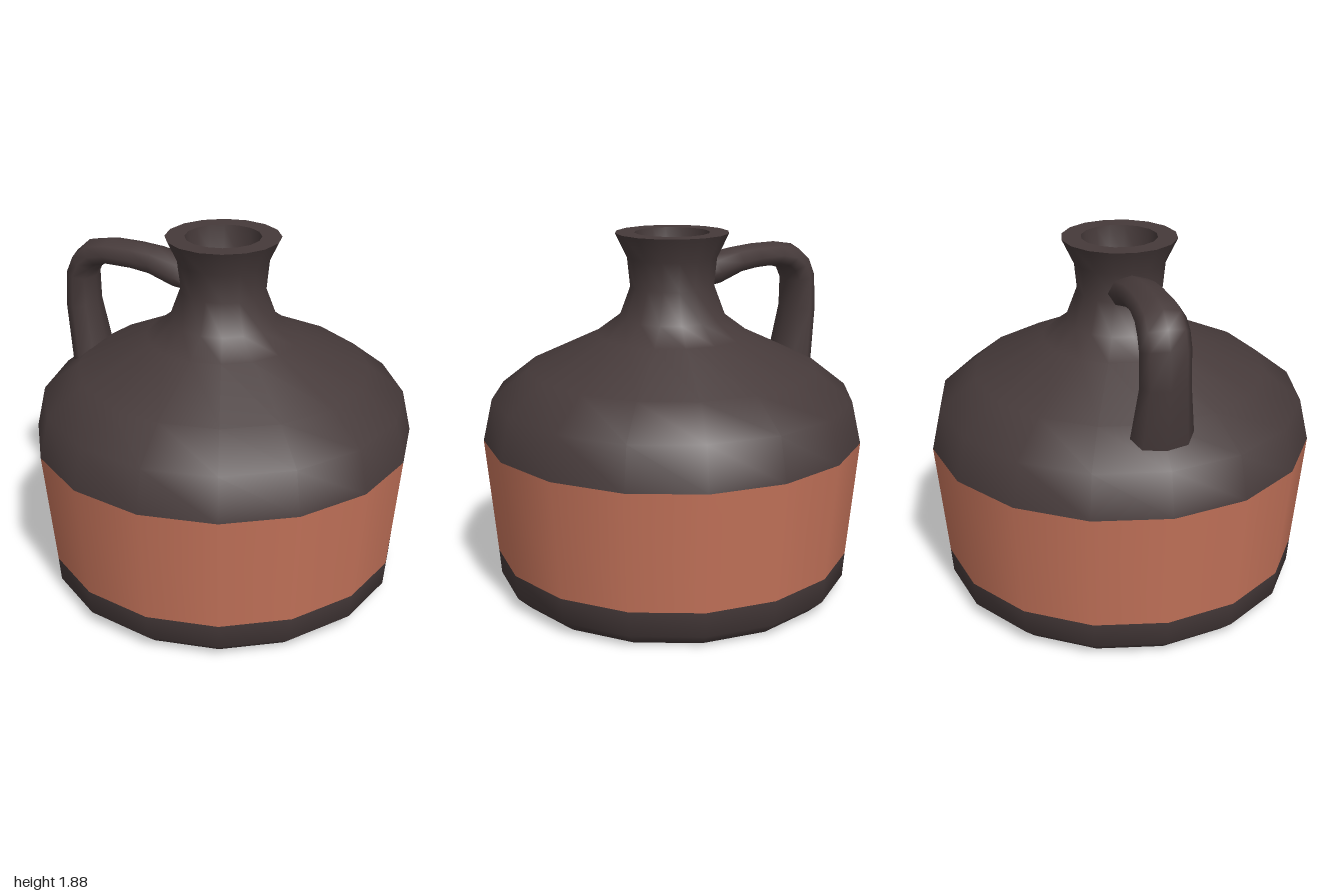
import * as THREE from 'three';

const SIDES = 16;

// Surface of revolution from [radius, height] pairs
function turned(name, profile, material) {
  const points = profile.map(([r, y]) => new THREE.Vector2(r, y));
  const mesh = new THREE.Mesh(new THREE.LatheGeometry(points, SIDES), material);
  mesh.name = name;
  return mesh;
}

// Oval-section strap: each station is [outer x, outer y, inner x, inner y, half width in z]
function strapGeometry(stations, sides) {
  const positions = [];
  const index = [];
  stations.forEach(([ox, oy, ix, iy, w], i) => {
    for (let j = 0; j < sides; j++) {
      const a = (j / sides) * Math.PI * 2;
      const c = Math.cos(a) / 2;
      positions.push((ox + ix) / 2 + (ox - ix) * c, (oy + iy) / 2 + (oy - iy) * c, w * Math.sin(a));
      if (i === 0) continue;
      const k = (j + 1) % sides;
      const lo = (i - 1) * sides;
      const hi = i * sides;
      index.push(lo + j, lo + k, hi + k, lo + j, hi + k, hi + j);
    }
  });
  const geometry = new THREE.BufferGeometry();
  geometry.setAttribute('position', new THREE.Float32BufferAttribute(positions, 3));
  geometry.setIndex(index);
  geometry.computeVertexNormals();
  return geometry;
}

export function createModel() {
  const group = new THREE.Group();
  group.name = 'jug';
  const glaze = new THREE.MeshStandardMaterial({ color: 0x463a3a });
  glaze.name = 'dark glaze';
  const clay = new THREE.MeshStandardMaterial({ color: 0xc4735a });
  clay.name = 'terracotta';

  // Body, from the foot up
  group.add(
    turned('foot', [[0, 0], [0.86, 0], [0.935, 0.07], [0.945, 0.2]], glaze),
    turned('band', [[0.945, 0.2], [1, 0.82]], clay),
    turned('shoulderAndNeck', [
      [1, 0.82], [0.95, 1.04], [0.76, 1.19], [0.4, 1.36],
      [0.28, 1.45], [0.22, 1.61], [0.235, 1.76], [0.295, 1.885],
    ], glaze),
    turned('rim', [[0.295, 1.885], [0.195, 1.885]], glaze),
    turned('mouth', [[0.195, 1.885], [0.18, 1.74], [0.14, 1.65], [0, 1.6]], glaze),
  );

  // Handle, from the shoulder round to the neck
  const handle = new THREE.Mesh(strapGeometry([
    [-0.84, 1.02, -0.66, 1.1, 0.17],
    [-0.87, 1.12, -0.7, 1.2, 0.155],
    [-0.905, 1.42, -0.74, 1.42, 0.125],
    [-0.89, 1.61, -0.745, 1.57, 0.125],
    [-0.85, 1.7, -0.72, 1.62, 0.125],
    [-0.77, 1.77, -0.69, 1.645, 0.122],
    [-0.65, 1.79, -0.63, 1.66, 0.118],
    [-0.5, 1.79, -0.49, 1.655, 0.113],
    [-0.37, 1.78, -0.39, 1.64, 0.112],
    [-0.22, 1.75, -0.25, 1.59, 0.12],
    [-0.18, 1.72, -0.19, 1.58, 0.1],
  ], 8), glaze);
  handle.name = 'handle';
  group.add(handle);

  return group;
}
